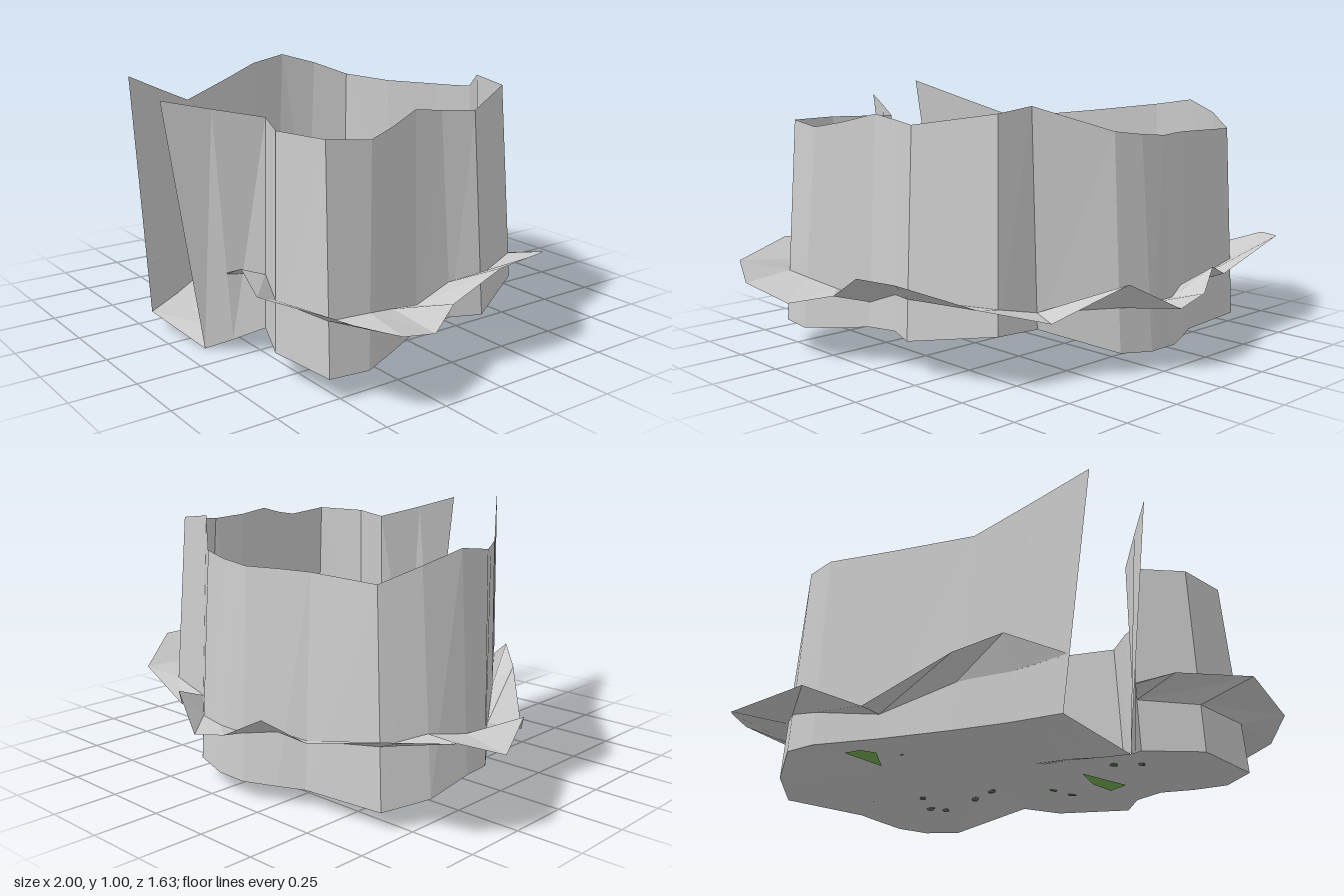
import * as THREE from 'three';

// Wall columns from the left gatepost, round the back, to the right gatepost:
// foot x, y, z then top x, y, z
const WALL = [
  [-.19, .068, .72, -.11, 1.01, .81], [-.305, .072, .55, -.24, .93, .625],
  [-.43, .08, .38, -.375, .85, .435], [-.59, .105, .13, -.58, .885, .13],
  [-.75, .13, -.10, -.735, .915, -.10], [-.79, .15, -.26, -.755, .94, -.27],
  [-.76, .10, -.42, -.71, .895, -.42], [-.67, .07, -.57, -.63, .84, -.55],
  [-.34, .068, -.60, -.33, .845, -.56], [-.24, .07, -.65, -.22, .848, -.60],
  [-.12, .07, -.70, -.10, .85, -.65], [.01, .07, -.70, .02, .86, -.645],
  [.15, .085, -.67, .14, .875, -.62], [.38, .18, -.48, .37, .965, -.44],
  [.56, .185, -.47, .52, .945, -.43], [.72, .14, -.17, .67, .90, -.15],
  [.68, .145, -.05, .64, .91, -.02], [.68, .13, .11, .64, .925, .10],
  [.73, .105, .26, .69, .89, .24], [.78, .09, .40, .73, .868, .36],
  [.76, .09, .55, .71, .885, .53], [.51, .11, .60, .50, .885, .58],
  [.29, .105, .50, .28, .885, .48], [.20, .05, .585, .20, .92, .65],
  [.12, .005, .66, .13, .955, .81],
];
// Ledge: height where it meets the wall, then outer rim x, y, z (one per wall column)
const LEDGE = [
  [.28, -.17, .28, .74], [.26, -.34, .385, .59], [.26, -.47, .335, .46],
  [.20, -.69, .18, .21], [.26, -.84, .31, 0], [.30, -1, .295, -.33],
  [.33, -.95, .37, -.52], [.30, -.85, .385, -.66], [.25, -.44, .29, -.69],
  [.27, -.28, .35, -.75], [.25, -.15, .28, -.81], [.25, 0, .25, -.82],
  [.25, .19, .355, -.74], [.24, .40, .22, -.57], [.28, .69, .31, -.52],
  [.29, .86, .385, -.29], [.28, .88, .38, -.10], [.225, .85, .28, .09],
  [.26, .94, .24, .25], [.29, 1, .295, .44], [.29, .94, .35, .59],
  [.30, .64, .385, .75], [.31, .36, .38, .64], [.31, .20, .315, .605],
];

const material = (color, side = THREE.FrontSide) =>
  new THREE.MeshStandardMaterial({ color, side, flatShading: true });

// Joins successive rows of points into one surface
function sheet(name, rows, mat, closed = false) {
  const n = rows[0].length, index = [];
  for (let r = 0; r < rows.length - 1; r++)
    for (let i = 0; i < (closed ? n : n - 1); i++) {
      const a = r * n + i, b = r * n + (i + 1) % n;
      index.push(a, b, a + n, b, b + n, a + n);
    }
  const geo = new THREE.BufferGeometry();
  geo.setAttribute('position', new THREE.Float32BufferAttribute(rows.flat(2), 3));
  geo.setIndex(index);
  geo.computeVertexNormals();
  const mesh = new THREE.Mesh(geo, mat);
  mesh.name = name;
  return mesh;
}

// Faceted lump with bumpy vertices; equal corners move together
function lumpGeometry(radius, seed) {
  const geo = new THREE.IcosahedronGeometry(radius, 0), p = geo.attributes.position;
  const v = new THREE.Vector3();
  for (let i = 0; i < p.count; i++) {
    v.fromBufferAttribute(p, i);
    const k = 1 + 0.15 * Math.sin(v.x / radius * 5 + v.y / radius * 7 + v.z / radius * 3 + seed);
    p.setXYZ(i, v.x * k, v.y * k, v.z * k);
  }
  geo.computeVertexNormals();
  return geo;
}

export function createModel() {
  const group = new THREE.Group();
  const stone = material(0xcccccc, THREE.DoubleSide);

  // Cliff wall, open at the front
  const feet = WALL.map(c => c.slice(0, 3));
  const tops = WALL.map(c => c.slice(3));
  group.add(sheet('cliffWall', [feet, tops], stone));

  // Ledge flaring out from the wall
  const inner = LEDGE.map(([y], i) => {
    const t = (y - feet[i][1]) / (tops[i][1] - feet[i][1]);
    return feet[i].map((f, k) => f + (tops[i][k] - f) * t);
  });
  group.add(sheet('outerLedge', [inner, LEDGE.map(l => l.slice(1))], stone));

  // Floor: rings shrinking to the middle, blending from the feet into a gentle swell
  const ring = s => feet.map(([x, y, z]) => {
    const px = x * s, pz = -.03 + (z + .03) * s;
    const rise = .133 + .025 * Math.sin(px * 5) - .15 * (pz + .1) ** 2;
    return [px, rise + (y - rise) * s * s, pz];
  });
  const floor = sheet('floor', [1, .8, .55, .28, 0].map(ring), stone, true);
  group.add(floor);

  // Height of the floor under a point
  floor.updateMatrixWorld(true);
  const ray = new THREE.Raycaster(), down = new THREE.Vector3(0, -1, 0);
  const floorY = (x, z) => {
    ray.set(new THREE.Vector3(x, 2, z), down);
    const hit = ray.intersectObject(floor)[0];
    return hit ? hit.point.y : .1;
  };

  // Bushes and pebbles: x, z, radius
  const lumps = (name, color, list, lift) => list.forEach(([x, z, r], i) => {
    const mesh = new THREE.Mesh(lumpGeometry(r, i * 2), material(color));
    mesh.name = name;
    mesh.position.set(x, floorY(x, z) + r * lift, z);
    mesh.rotation.set(i * .8 + .4, i * 1.3, .3);
    group.add(mesh);
  });
  lumps('bush', 0x86b56e, [[-.585, -.30, .05], [.51, .05, .05], [.595, .19, .055]], .95);
  lumps('smallBush', 0x5f7a52,
    [[-.54, -.12, .028], [.32, -.14, .024], [.41, -.15, .027], [.315, .295, .023]], .6);
  lumps('pebble', 0x777777, [[-.185, -.34, .016], [-.10, -.44, .018], [-.03, -.44, .016],
    [.04, -.31, .018], [.075, -.235, .018], [.39, .37, .016]], .3);

  // Grass patches lying in the floor, showing above and below it
  const grass = material(0x78b050, THREE.DoubleSide);
  [[[-.62, -.11], [-.45, -.15], [-.53, -.02], [-.59, -.03]],
    [[.28, .13], [.40, .03], [.50, .01], [.49, .13]]].forEach(corners => {
    for (const lift of [-.005, .003]) {
      const [a, b, c, d] = corners.map(([x, z]) => [x, floorY(x, z) + lift, z]);
      group.add(sheet('grassPatch', [[a, b], [d, c]], grass));
    }
  });

  // Twigs: little crossed sticks, x, z, length
  const bark = material(0x444444);
  [[-.335, -.455, .05], [-.42, .025, .06], [-.29, .085, .03], [.41, -.07, .025],
    [.35, .145, .025], [.555, .38, .04]].forEach(([x, z, len], i) => {
    const twig = new THREE.Group();
    twig.name = 'twig';
    for (let k = 0; k < 3; k++) {
      const stick = new THREE.Mesh(new THREE.CylinderGeometry(.001, .002, len, 4), bark);
      stick.rotation.set(Math.PI / 2 - .15, k * Math.PI / 3 + i, 0, 'YXZ');
      twig.add(stick);
    }
    twig.position.set(x, floorY(x, z) + .006, z);
    group.add(twig);
  });
  return group;
}
